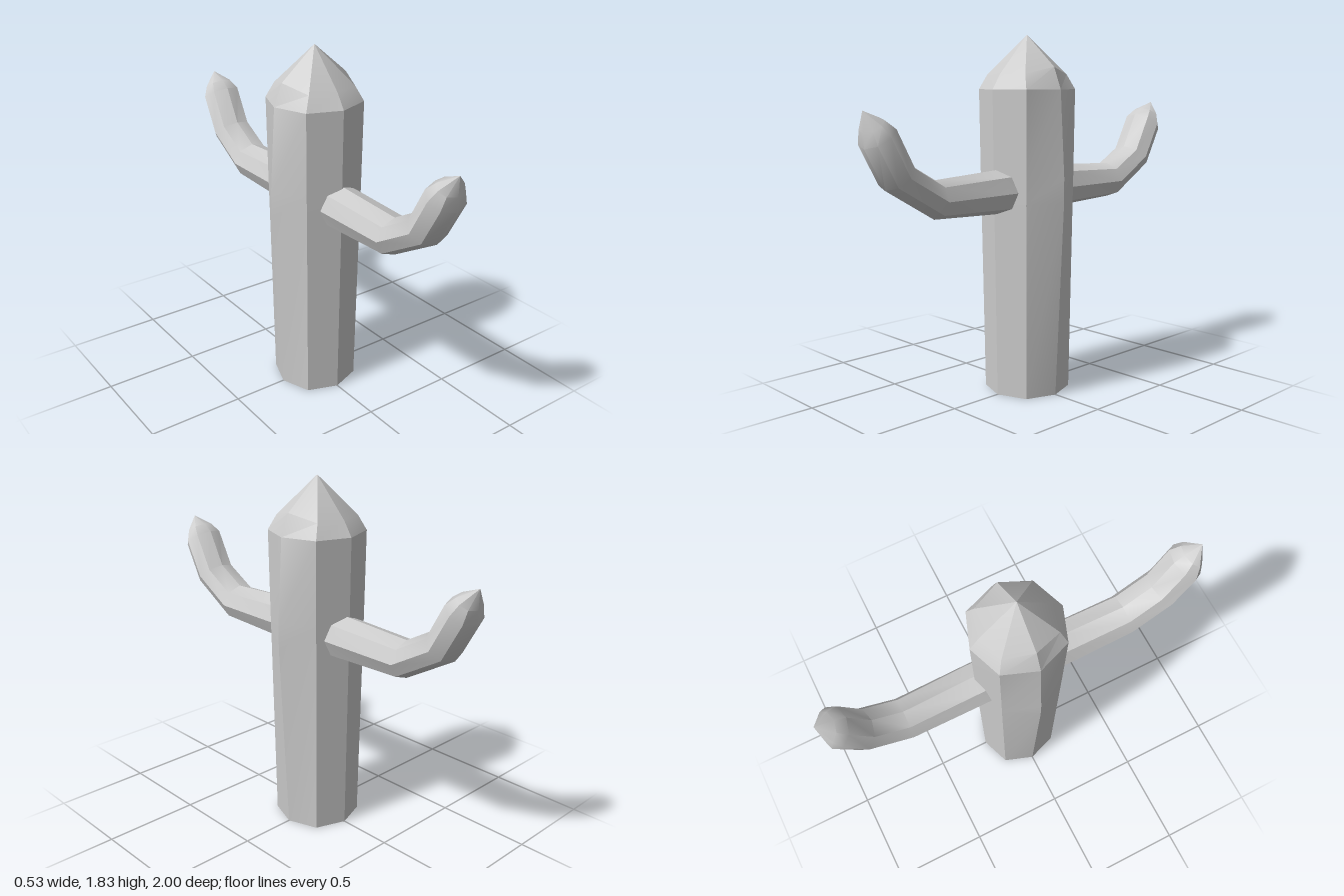
import * as THREE from 'three';
import { toCreasedNormals } from 'three/addons/utils/BufferGeometryUtils.js';

const SIDES = 8;
const material = new THREE.MeshStandardMaterial({ color: 0xcccccc });

// Skin rings of points (counter-clockwise seen from the tip), closed by a base centre and a tip.
function loft(rings, base, tip, crease) {
  const pos = [];
  const tri = (...pts) => pts.forEach((p) => pos.push(p.x, p.y, p.z));
  const last = rings[rings.length - 1];
  for (let j = 0; j < SIDES; j++) {
    const k = (j + 1) % SIDES;
    tri(base, rings[0][k], rings[0][j]);
    for (let i = 0; i < rings.length - 1; i++) {
      const a = rings[i], b = rings[i + 1];
      tri(a[j], a[k], b[k]);
      tri(a[j], b[k], b[j]);
    }
    tri(last[j], last[k], tip);
  }
  const geometry = new THREE.BufferGeometry();
  geometry.setAttribute('position', new THREE.Float32BufferAttribute(pos, 3));
  return toCreasedNormals(geometry, crease);
}

// Trunk: octagonal rings whose side corners bulge and rise independently.
function createTrunk() {
  // [y, side corner x, diagonal x, diagonal z, front corner z, side corner y]
  const levels = [
    [0, 0.21, 0.155, 0.155, 0.212, 0],
    [1.0, 0.263, 0.166, 0.167, 0.228, 1.0],
    [1.13, 0.263, 0.168, 0.168, 0.23, 1.13],
    [1.56, 0.236, 0.172, 0.172, 0.235, 1.56],
    [1.635, 0.19, 0.137, 0.145, 0.185, 1.67],
  ];
  const rings = levels.map(([y, sx, dx, dz, fz, sy]) => [
    [sx, sy, 0], [dx, y, -dz], [0, y, -fz], [-dx, y, -dz],
    [-sx, sy, 0], [-dx, y, dz], [0, y, fz], [dx, y, dz],
  ].map((p) => new THREE.Vector3(...p)));
  return loft(rings, new THREE.Vector3(), new THREE.Vector3(0, 1.83, 0), 0.35);
}

// Arm: octagonal rings following a bent path, reaching toward +z or -z.
function createArm(dir) {
  // [z, y, tilt of the path, half width, half height]
  const stations = [
    [0.12, 1.055, 0, 0.115, 0.113],
    [0.235, 1.055, 0, 0.115, 0.11],
    [0.613, 1.053, 0.05, 0.111, 0.093],
    [0.825, 1.176, 0.86, 0.109, 0.086],
    [0.925, 1.36, 0.95, 0.108, 0.086],
    [0.952, 1.412, 0.95, 0.078, 0.055],
  ];
  const rings = stations.map(([z, y, tilt, w, h]) =>
    Array.from({ length: SIDES }, (_, j) => {
      const a = dir * (j / SIDES) * Math.PI * 2;
      const up = h * Math.sin(a);
      return new THREE.Vector3(
        0.012 + w * Math.cos(a),
        y + up * Math.cos(tilt),
        dir * (z - up * Math.sin(tilt)),
      );
    }));
  const base = new THREE.Vector3(0.012, 1.055, dir * 0.12);
  const tip = new THREE.Vector3(0.012, 1.477, dir * 0.998);
  return loft(rings, base, tip, 0.62);
}

export function createModel() {
  const group = new THREE.Group();
  group.name = 'cactus';
  const add = (name, geometry) => {
    const mesh = new THREE.Mesh(geometry, material);
    mesh.name = name;
    group.add(mesh);
  };
  add('trunk', createTrunk());
  add('frontArm', createArm(1));
  add('backArm', createArm(-1));
  return group;
}
